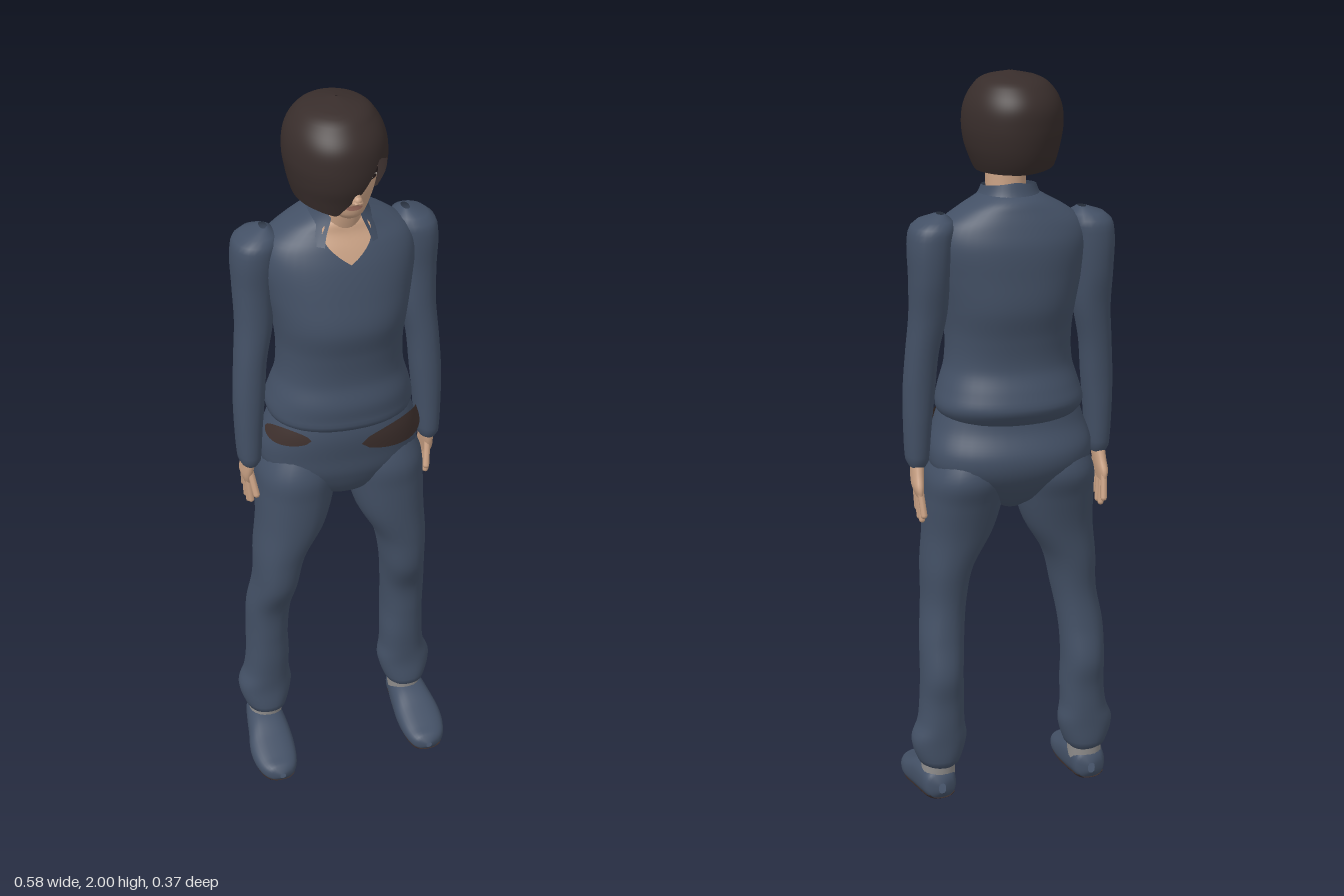
import * as THREE from 'three';
import { mergeVertices } from 'three/addons/utils/BufferGeometryUtils.js';

const mat = (name, color, side = THREE.FrontSide) => {
  const m = new THREE.MeshStandardMaterial({ color, side });
  m.name = name;
  return m;
};

// Cross-section [y, cx, cz, rx, rz] at height y, Hermite-smoothed between ascending keys
function section(keys, y) {
  const n = keys.length - 1;
  let i = 0;
  while (i < n - 1 && y > keys[i + 1][0]) i++;
  const a = keys[i], b = keys[i + 1], h = b[0] - a[0];
  const t = Math.min(1, Math.max(0, (y - a[0]) / h));
  const slope = (k, c) => {
    const p = keys[Math.max(0, k - 1)], q = keys[Math.min(n, k + 1)];
    return (q[c] - p[c]) / (q[0] - p[0]);
  };
  return [1, 2, 3, 4].map((c) => {
    const t2 = t * t, t3 = t2 * t;
    return (2 * t3 - 3 * t2 + 1) * a[c] + (t3 - 2 * t2 + t) * h * slope(i, c)
      + (3 * t2 - 2 * t3) * b[c] + (t3 - t2) * h * slope(i + 1, c);
  });
}

// Surface over a run of angles (degrees, 0 = front, 90 = left) between heights lo(angle) and hi(angle)
function surface(keys, { from = -180, to = 180, lo, hi, grow = 0, e = 0.9, cols = 32, rows = 30 } = {}) {
  const pos = [], idx = [];
  const bottom = lo || (() => keys[0][0]), top = hi || (() => keys[keys.length - 1][0]);
  const bend = (s) => Math.sign(s) * Math.pow(Math.abs(s) < 1e-6 ? 0 : Math.abs(s), e);
  for (let j = 0; j <= rows; j++) {
    for (let i = 0; i <= cols; i++) {
      const deg = from + (to - from) * i / cols, a = deg * Math.PI / 180;
      const y = bottom(deg) + (top(deg) - bottom(deg)) * j / rows;
      const [cx, cz, rx, rz] = section(keys, y);
      pos.push(cx + (Math.max(rx, 0.001) + grow) * bend(Math.sin(a)), y,
        cz + (Math.max(rz, 0.001) + grow) * bend(Math.cos(a)));
      if (i < cols && j < rows) {
        const p = j * (cols + 1) + i, q = p + cols + 1;
        idx.push(p, p + 1, q + 1, p, q + 1, q);
      }
    }
  }
  const g = new THREE.BufferGeometry();
  g.setAttribute('position', new THREE.Float32BufferAttribute(pos, 3));
  g.setIndex(idx);
  const welded = mergeVertices(g, 1e-5);
  welded.computeVertexNormals();
  return welded;
}

// Almond-shaped painted detail on a surface
const lens = (keys, from, to, y, half, grow) => {
  const h = (d) => half * Math.sqrt(Math.max(0, Math.sin(Math.PI * (d - from) / (to - from))));
  return surface(keys, { from, to, lo: (d) => y - h(d), hi: (d) => y + h(d), grow, cols: 16, rows: 6 });
};

// Piecewise-linear lookup
const lookup = (table, x) => {
  let i = 0;
  while (i < table.length - 2 && x > table[i + 1][0]) i++;
  const [a, b] = [table[i], table[i + 1]];
  return a[1] + (b[1] - a[1]) * (x - a[0]) / (b[0] - a[0]);
};

export function createModel() {
  const root = new THREE.Group();
  const cloth = mat('navy cloth', 0x435065, THREE.DoubleSide);
  const hairMat = mat('dark brown hair', 0x382d2b, THREE.DoubleSide);
  const skin = mat('skin', 0xc9a184);
  const leather = mat('brown leather', 0x3f312e, THREE.DoubleSide);
  const sockMat = mat('grey sock', 0x8f8d8c);
  const lipMat = mat('lips', 0xa87566);
  const darkMat = mat('eye shadow', 0x2a2020);
  const whiteMat = mat('eye white', 0xc8c0b8);
  const add = (name, geo, material, parent = root) => {
    const m = new THREE.Mesh(geo, material);
    m.name = name;
    parent.add(m);
    return m;
  };

  // Jacket and trouser seat
  const torso = [[1.115, 0, -.025, .17, .125], [1.135, 0, -.022, .19, .145], [1.16, 0, -.028, .195, .152],
    [1.2, 0, -.022, .185, .147], [1.26, 0, -.018, .168, .13], [1.34, 0, -.018, .165, .135],
    [1.42, 0, -.02, .175, .15], [1.5, 0, -.028, .19, .143], [1.58, 0, -.038, .2, .13],
    [1.63, 0, -.042, .185, .112], [1.665, 0, -.045, .14, .095], [1.69, 0, -.042, .095, .085], [1.71, 0, -.035, .06, .06]];
  add('jacket', surface(torso, { cols: 44, rows: 60 }), cloth);
  const pelvis = [[.865, 0, -.03, .03, .04], [.9, 0, -.025, .1, .09], [.97, 0, -.035, .2, .135],
    [1.03, 0, -.037, .218, .145], [1.1, 0, -.02, .2, .135], [1.17, 0, -.02, .175, .125]];
  add('trouserSeat', surface(pelvis, { cols: 40 }), cloth);
  add('beltLeft', lens(pelvis, 4, 85, 1.083, .04, .008), leather);
  add('beltRight', lens(pelvis, -85, -30, 1.105, .024, .008), leather);

  // Neck, open neckline and collar
  add('neck', surface([[1.6, 0, -.02, .05, .05], [1.7, 0, 0, .05, .058], [1.78, 0, .005, .05, .06]]), skin);
  add('neckline', surface(torso, { from: -28, to: 28, lo: (d) => 1.595 + Math.abs(d) / 28 * .085,
    hi: () => 1.7, grow: .006, cols: 16, rows: 10 }), skin);
  const collar = [[1.63, 0, -.035, .125, .12], [1.665, 0, -.035, .105, .1], [1.7, 0, -.03, .077, .082], [1.735, 0, -.03, .064, .07]];
  add('collar', surface(collar, { from: 28, to: 332, lo: (d) => 1.668 - .03 * Math.abs(Math.cos(d * Math.PI / 360)),
    hi: (d) => 1.735 - .02 * Math.abs(Math.cos(d * Math.PI / 360)), rows: 10 }), cloth);

  // Face
  const face = [[1.722, -.003, .07, .012, .018], [1.735, -.003, .06, .036, .048], [1.77, -.002, .04, .058, .076],
    [1.81, 0, .03, .07, .096], [1.85, 0, .02, .078, .106], [1.9, 0, 0, .08, .112], [1.95, 0, -.01, .055, .07]];
  add('face', surface(face), skin);
  const nose = add('nose', new THREE.ConeGeometry(.014, .055, 10), skin);
  nose.position.set(0, 1.812, .13);
  nose.rotation.x = -.25;
  const noseTip = add('noseTip', new THREE.SphereGeometry(.011, 12, 8), skin);
  noseTip.position.set(0, 1.793, .138);
  add('lips', lens(face, -19, 19, 1.764, .007, .004), lipMat);
  for (const s of [-1, 1]) {
    const side = s > 0 ? 'Left' : 'Right';
    const at = (a, b) => (s > 0 ? [a, b] : [-b, -a]);
    add('eyeShadow' + side, lens(face, ...at(13, 54), 1.845, .012, .002), darkMat);
    add('eyeWhite' + side, lens(face, ...at(20, 44), 1.842, .005, .004), whiteMat);
    add('iris' + side, lens(face, ...at(28, 37), 1.842, .005, .006), darkMat);
    add('eyebrow' + side, lens(face, ...at(12, 56), 1.869, .004, .003), hairMat);
  }

  // Bob haircut with a diagonal fringe over the right eye
  const hair = [[1.74, -.02, .005, .092, .112], [1.78, -.018, 0, .108, .13], [1.82, -.016, 0, .12, .144],
    [1.87, -.016, -.002, .127, .15], [1.92, -.016, -.005, .121, .145], [1.96, -.015, -.008, .1, .118],
    [1.985, -.012, -.008, .068, .08], [2, -.01, -.008, .003, .003]];
  const hem = [[-180, 1.755], [-100, 1.77], [-45, 1.757], [-15, 1.745], [11, 1.8], [37, 1.885],
    [58, 1.865], [78, 1.765], [95, 1.755], [180, 1.755]];
  add('hair', surface(hair, { lo: (d) => lookup(hem, d), e: 1, cols: 80, rows: 36 }), hairMat);

  // Limbs, mirrored; the right leg stands slightly wider
  const arm = [[.99, .247, -.02, .022, .036], [1.0, .247, -.02, .029, .045], [1.1, .245, -.024, .036, .05],
    [1.2, .24, -.028, .041, .052], [1.3, .232, -.035, .042, .055], [1.4, .218, -.045, .048, .06],
    [1.5, .215, -.055, .052, .068], [1.6, .21, -.055, .058, .072], [1.64, .2, -.055, .05, .06], [1.66, .185, -.055, .01, .02]];
  const palm = [[.915, .25, -.05, .008, .036], [.94, .252, -.045, .014, .042], [.97, .25, -.032, .016, .038], [1.01, .247, -.022, .018, .03]];
  const leg = [[.118, .2, -.036, .04, .05], [.128, .203, -.036, .055, .064], [.2, .203, -.042, .076, .062],
    [.25, .197, -.042, .064, .064], [.32, .193, -.04, .06, .068], [.4, .193, -.043, .058, .075], [.5, .189, -.03, .06, .072],
    [.6, .178, -.006, .06, .088], [.7, .168, -.006, .07, .098], [.8, .139, -.01, .093, .108], [.9, .125, -.022, .105, .122],
    [.97, .118, -.032, .106, .132], [1.06, .1, -.035, .08, .1]];
  // Shoe runs heel to toe, laid forward afterwards: [z, cx, -cy, rx, ry]
  const shoe = [[-.098, .208, -.065, .01, .015], [-.088, .208, -.068, .038, .036], [-.04, .21, -.068, .05, .05],
    [.02, .212, -.059, .058, .051], [.08, .216, -.044, .064, .04], [.14, .216, -.032, .056, .029],
    [.175, .214, -.027, .036, .022], [.186, .213, -.026, .008, .008]];
  const sock = [[.08, .206, -.036, .046, .052], [.135, .204, -.036, .046, .054]];

  const finger = (parent, name, a, b, r) => {
    const p = new THREE.Vector3(...a), q = new THREE.Vector3(...b), d = q.clone().sub(p);
    const m = add(name, new THREE.CapsuleGeometry(r, d.length(), 4, 8), skin, parent);
    m.position.copy(p).add(q).multiplyScalar(.5);
    m.quaternion.setFromUnitVectors(new THREE.Vector3(0, 1, 0), d.normalize());
  };

  for (const s of [-1, 1]) {
    const side = s > 0 ? 'Left' : 'Right';
    const wide = (y) => (s < 0 ? .014 * Math.min(1, Math.max(0, (.85 - y) / .35)) : 0);
    const mirror = (keys, extra = () => 0) => keys.map(([y, cx, ...r]) => [y, s * (cx + extra(y)), ...r]);
    add('sleeve' + side, surface(mirror(arm), { cols: 24, rows: 44 }), cloth);

    const hand = new THREE.Group();
    hand.name = 'hand' + side;
    root.add(hand);
    add('palm', surface(mirror(palm), { cols: 20, rows: 12 }), skin, hand);
    for (let i = 0; i < 4; i++) {
      const drop = [.868, .852, .852, .872][i];
      finger(hand, 'finger', [s * .251, .935, -.018 - .019 * i], [s * .246, drop, -.014 - .026 * i], .0085);
    }
    finger(hand, 'thumb', [s * .248, .965, -.01], [s * .238, .9, .014], .009);

    add('trouserLeg' + side, surface(mirror(leg, wide), { cols: 28, rows: 70 }), cloth);
    add('sock' + side, surface(mirror(sock, () => wide(0)), { cols: 20, rows: 3 }), sockMat);
    const shoeKeys = mirror(shoe, () => wide(0));
    add('shoe' + side, surface(shoeKeys, { e: .8, cols: 28, rows: 36 }).rotateX(Math.PI / 2), cloth);
    add('sole' + side, surface(shoeKeys, { from: -55, to: 55, e: .8, grow: .003, cols: 14, rows: 36,
      lo: () => -.09, hi: () => .178 }).rotateX(Math.PI / 2), leather);
  }
  return root;
}
